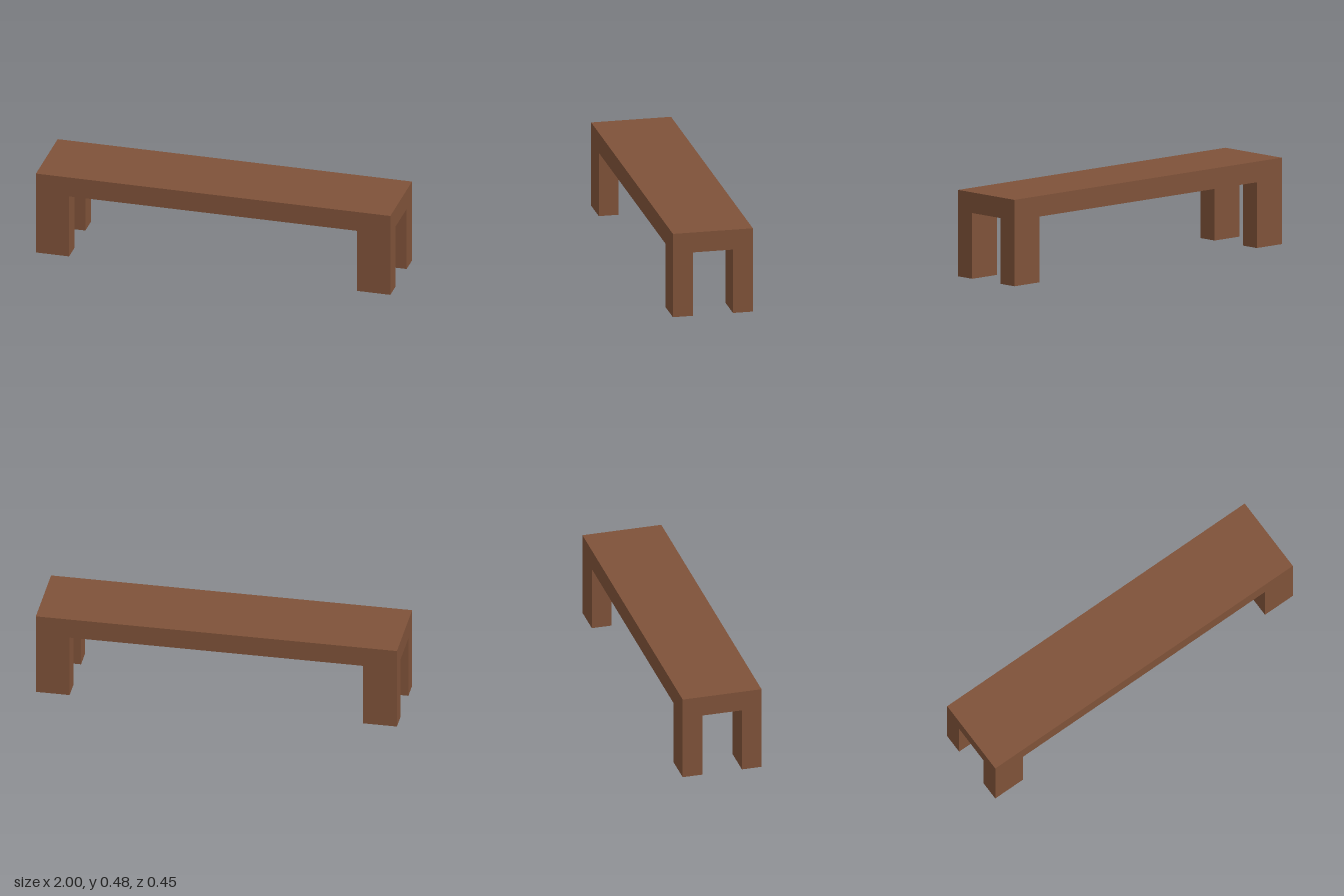
import * as THREE from 'three';

const LENGTH = 2, DEPTH = 0.446, HEIGHT = 0.477;
const LEG_HEIGHT = 0.363, LEG_WIDTH = 0.187, LEG_DEPTH = 0.111;

export function createModel() {
  const bench = new THREE.Group();
  bench.name = 'bench';

  const wood = new THREE.MeshStandardMaterial({ color: 0x7f5239 });
  wood.name = 'brown wood';

  const addBox = (name, w, h, d, x, y, z) => {
    const mesh = new THREE.Mesh(new THREE.BoxGeometry(w, h, d), wood);
    mesh.name = name;
    mesh.position.set(x, y, z);
    bench.add(mesh);
  };

  // Seat slab
  addBox('seat', LENGTH, HEIGHT - LEG_HEIGHT, DEPTH, 0, (HEIGHT + LEG_HEIGHT) / 2, 0);

  // Four corner legs, flush with the seat edges
  for (const [side, sx] of [['Left', 1], ['Right', -1]]) {
    for (const [end, sz] of [['front', 1], ['back', -1]]) {
      addBox(`${end}${side}Leg`, LEG_WIDTH, LEG_HEIGHT, LEG_DEPTH,
        sx * (LENGTH - LEG_WIDTH) / 2, LEG_HEIGHT / 2, sz * (DEPTH - LEG_DEPTH) / 2);
    }
  }

  return bench;
}
